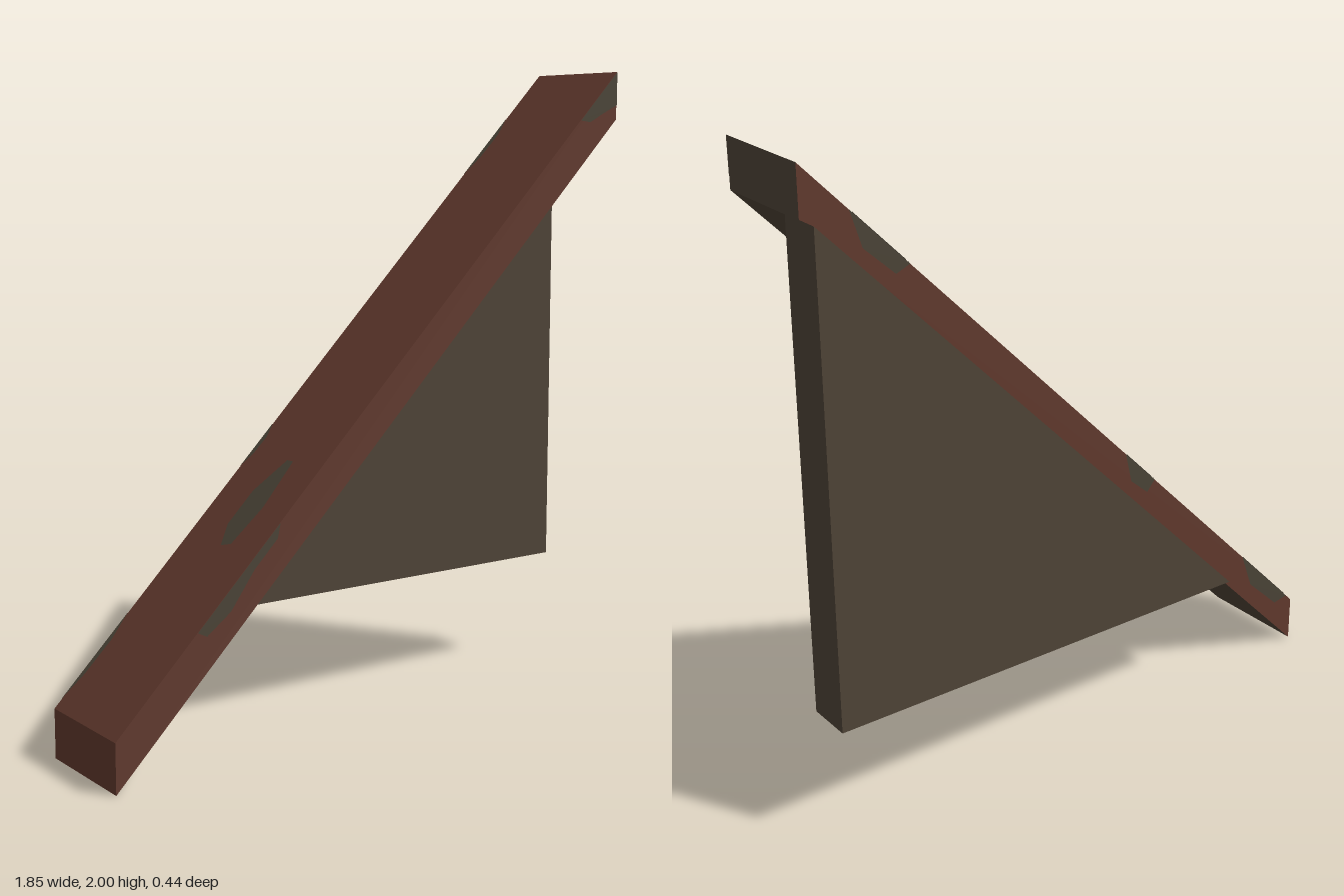
import * as THREE from 'three';

const rust = new THREE.MeshStandardMaterial({ color: 0x623a2e });
rust.name = 'rust red';
const brown = new THREE.MeshStandardMaterial({ color: 0x4f4437 });
brown.name = 'dark brown';
const worn = new THREE.MeshStandardMaterial({ color: 0x4b4437, side: THREE.DoubleSide });
worn.name = 'worn grey';

const LIFT = 0.002;
const Z_FRONT = 0.22, Z_BACK = -0.146;

// Flat worn spot: outline in (u, v), placed on a beam face by a mapping rule
function wornSpot(name, outline, place) {
  const shape = new THREE.Shape(outline.map(([u, v]) => new THREE.Vector2(u, v)));
  const geo = new THREE.ShapeGeometry(shape);
  const pos = geo.attributes.position;
  for (let i = 0; i < pos.count; i++) pos.setXYZ(i, ...place(pos.getX(i), pos.getY(i)));
  geo.computeVertexNormals();
  const mesh = new THREE.Mesh(geo, worn);
  mesh.name = name;
  return mesh;
}

// u runs along x; v is z on the sloping top, or height above the beam's middle line
const onTop = (u, v) => [u, u + 1.075 + LIFT, v];
const onFront = (u, v) => [u, u + 1 + v, Z_FRONT + LIFT];
const onBack = (u, v) => [u, u + 1 + v, Z_BACK - LIFT];

export function createModel() {
  const model = new THREE.Group();

  // Sloping beam with upright ends: a box sheared to 45 degrees
  const beamGeo = new THREE.BoxGeometry(1.85, 0.15, Z_FRONT - Z_BACK);
  const pos = beamGeo.attributes.position;
  for (let i = 0; i < pos.count; i++) pos.setY(i, pos.getY(i) + pos.getX(i));
  beamGeo.translate(0, 1, (Z_FRONT + Z_BACK) / 2);
  beamGeo.computeVertexNormals();
  const beam = new THREE.Mesh(beamGeo, [brown, rust, rust, brown, rust, rust]);
  beam.name = 'slopingBeam';
  model.add(beam);

  // Triangular wall panel below the beam
  const tri = new THREE.Shape([
    new THREE.Vector2(-0.555, 0.372),
    new THREE.Vector2(0.925, 0.372),
    new THREE.Vector2(0.925, 1.852),
  ]);
  const panelGeo = new THREE.ExtrudeGeometry(tri, { depth: 0.146, bevelEnabled: false });
  panelGeo.translate(0, 0, -0.22);
  const panel = new THREE.Mesh(panelGeo, brown);
  panel.name = 'trianglePanel';
  model.add(panel);

  // Worn spots on the top
  model.add(wornSpot('topSpot', [[-0.47, 0.04], [-0.42, 0], [-0.33, 0], [-0.24, 0.05],
    [-0.24, 0.08], [-0.36, 0.1], [-0.46, 0.08]], onTop));

  // Worn spots on the front
  model.add(wornSpot('frontSpot', [[-0.66, 0.075], [-0.63, 0.03], [-0.55, 0.01],
    [-0.47, 0.04], [-0.39, 0.04], [-0.38, 0.075]], onFront));
  model.add(wornSpot('frontCornerSpot', [[0.77, 0.075], [0.81, 0.03], [0.87, 0],
    [0.925, -0.03], [0.925, 0.075]], onFront));

  // Worn spots along the back, each lapping over the top edge
  for (const [from, to] of [[-0.9, -0.68], [-0.28, -0.16], [0.6, 0.78]]) {
    const w = to - from;
    model.add(wornSpot('backSpot', [[from, 0.075], [from + 0.25 * w, 0.01],
      [to - 0.2 * w, 0], [to, 0.075]], onBack));
    model.add(wornSpot('backEdgeSpot', [[from, Z_BACK], [from + 0.3 * w, Z_BACK + 0.018],
      [to - 0.3 * w, Z_BACK + 0.02], [to, Z_BACK]], onTop));
  }

  return model;
}
